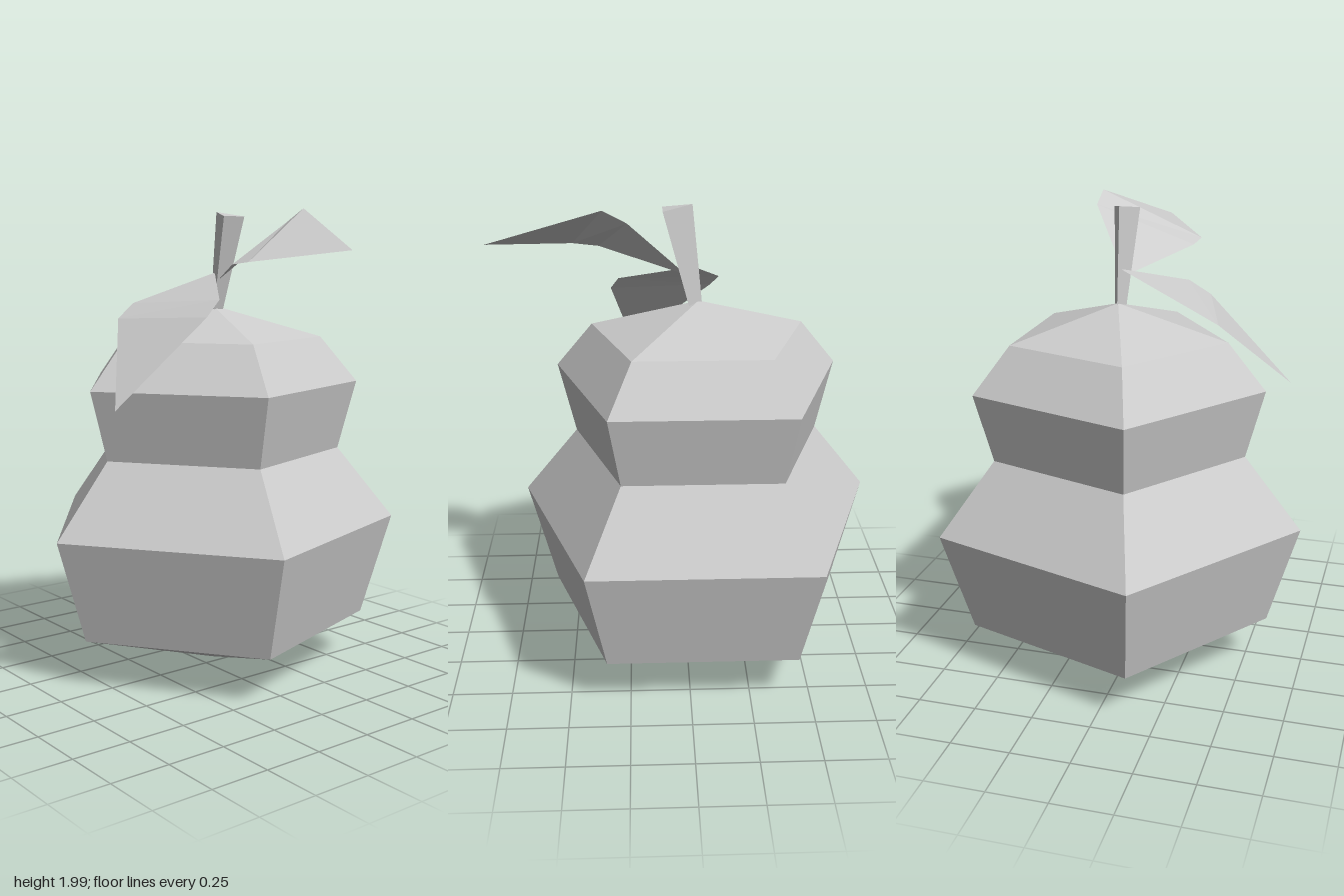
import * as THREE from 'three';

const AXIS_X = -0.05, AXIS_Z = -0.075;

// Faceted surface from points and triangle indices
function facets(points, faces) {
  const g = new THREE.BufferGeometry();
  g.setAttribute('position', new THREE.Float32BufferAttribute(points.flat(), 3));
  g.setIndex(faces.flat());
  const flat = g.toNonIndexed();
  flat.computeVertexNormals();
  return flat;
}

// Leaf: base point, two cross-sections (left, right), tip
function leafGeometry(base, l1, r1, l2, r2, tip) {
  return facets([base, l1, r1, l2, r2, tip],
    [[0, 2, 1], [1, 2, 4], [1, 4, 3], [3, 4, 5]]);
}

export function createModel() {
  const group = new THREE.Group();
  const grey = new THREE.MeshStandardMaterial({ color: 0xcccccc, flatShading: true, side: THREE.DoubleSide });
  grey.name = 'light grey';
  const add = (name, geometry) => {
    const mesh = new THREE.Mesh(geometry, grey);
    mesh.name = name;
    group.add(mesh);
    return mesh;
  };

  // Five-sided pear body, one corner facing the front
  const profile = [[0, 0.01], [0.67, 0.22], [0.8, 0.66], [0.552, 0.97], [0.63, 1.265], [0.468, 1.46], [0, 1.595]]
    .map(([r, y]) => new THREE.Vector2(r, y));
  add('pearBody', new THREE.LatheGeometry(profile, 5)).position.set(AXIS_X, 0, AXIS_Z);

  // Three-sided stem, leaning and widening upward
  add('stem', facets(
    [[-0.065, 1.58, -0.075], [-0.01, 1.58, -0.05], [-0.01, 1.58, -0.1],
      [-0.025, 1.99, -0.075], [0.095, 1.97, -0.02], [0.095, 1.97, -0.13]],
    [[0, 2, 1], [3, 4, 5], [0, 1, 4], [0, 4, 3], [1, 2, 5], [1, 5, 4], [2, 0, 3], [2, 3, 5]]));

  // Raised leaf to the side
  add('sideLeaf', leafGeometry([0.0, 1.7, -0.06],
    [0.235, 1.95, -0.25], [0.36, 1.775, 0.15],
    [0.33, 2.0, -0.25], [0.47, 1.785, 0.16], [0.81, 1.83, -0.06]));

  // Drooping leaf at the front
  add('frontLeaf', leafGeometry([-0.03, 1.735, -0.07],
    [0.28, 1.635, 0.15], [-0.155, 1.61, 0.27],
    [0.315, 1.57, 0.24], [-0.125, 1.55, 0.365], [0.23, 1.22, 0.62]));

  return group;
}
